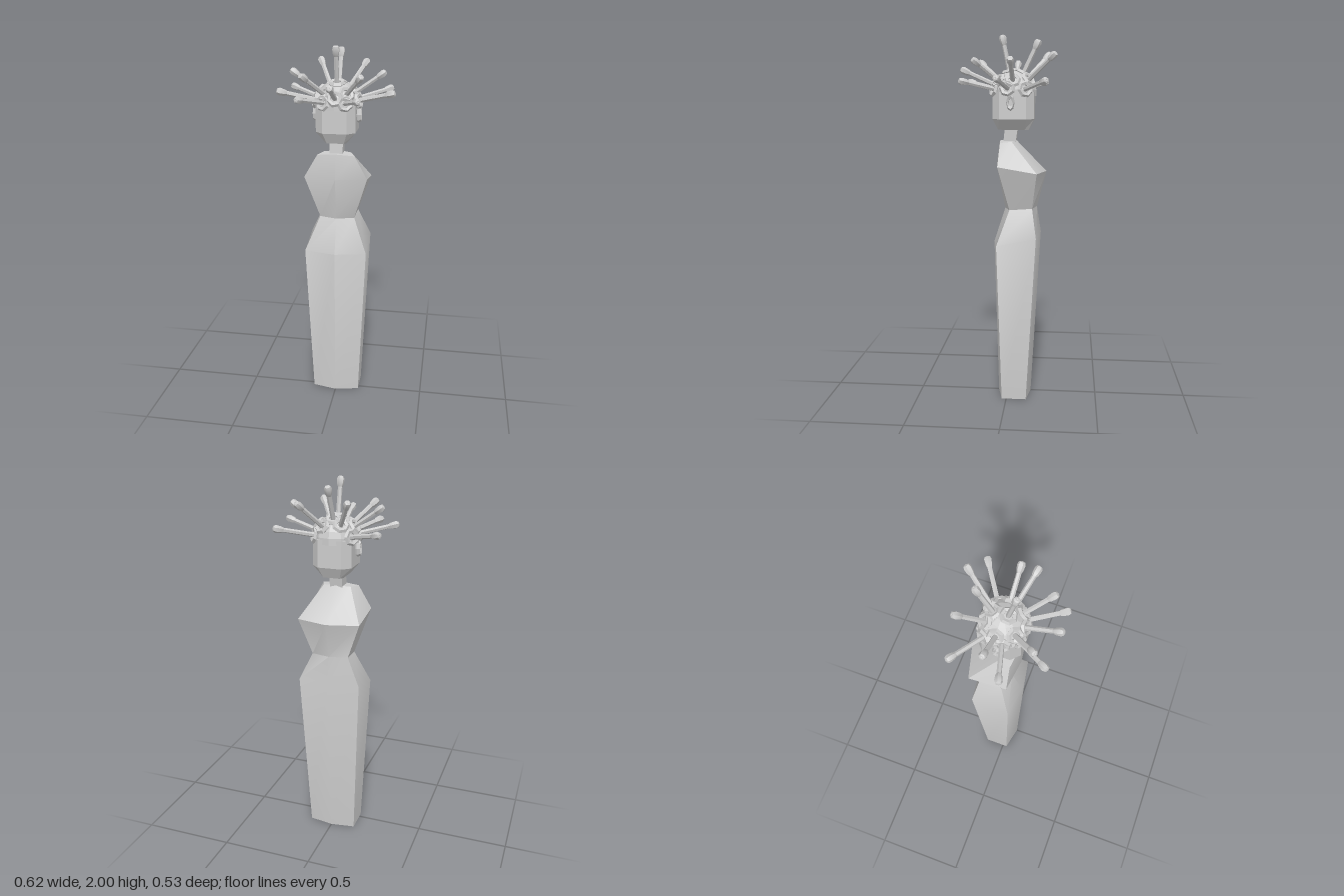
import * as THREE from 'three';
import { toCreasedNormals } from 'three/addons/utils/BufferGeometryUtils.js';

const stone = new THREE.MeshStandardMaterial({ color: 0xcccccc, side: THREE.DoubleSide });
stone.name = 'stone grey';

const HAIR = new THREE.Vector3(0, 1.69, -0.032); // centre of the hair ball

function add(parent, name, geometry, crease = 0.05) {
  const mesh = new THREE.Mesh(toCreasedNormals(geometry, crease), stone);
  mesh.name = name;
  parent.add(mesh);
  return mesh;
}

// Skin a stack of rings, listed bottom to top, each running front -> +x -> back -> -x
function loft(rings, capBottom, capTop) {
  const pos = [];
  const tri = (...pts) => pts.forEach((p) => pos.push(...p));
  const n = rings[0].length;
  for (let r = 0; r < rings.length - 1; r++) {
    const lo = rings[r], hi = rings[r + 1];
    for (let i = 0; i < n; i++) {
      const j = (i + 1) % n;
      tri(lo[i], lo[j], hi[j]);
      tri(lo[i], hi[j], hi[i]);
    }
  }
  const top = rings[rings.length - 1], bottom = rings[0];
  for (let i = 1; i < n - 1; i++) {
    if (capTop) tri(top[0], top[i], top[i + 1]);
    if (capBottom) tri(bottom[0], bottom[i + 1], bottom[i]);
  }
  const g = new THREE.BufferGeometry();
  g.setAttribute('position', new THREE.Float32BufferAttribute(pos, 3));
  return g;
}

// Six-sided body section: front ridge, front corners, back corners, back ridge
const bodyRing = ([fy, fz], [cx, cy, cz], [bx, by, bz], [ry, rz]) => [
  [0, fy, fz], [cx, cy, cz], [bx, by, bz], [0, ry, rz], [-bx, by, bz], [-cx, cy, cz],
];

// Eight-sided head section with half sizes and flat half widths
const headRing = (y, hx, hz, fx, fz) =>
  [[fx, hz], [hx, fz], [hx, -fz], [fx, -hz], [-fx, -hz], [-hx, -fz], [-hx, fz], [-fx, hz]]
    .map(([x, z]) => [x, y, z - 0.032]);

const boxRing = (y, hx, front, back) =>
  [[hx, y, front], [hx, y, back], [-hx, y, back], [-hx, y, front]];

// A braid points along its own +y, starting at the hair centre
function braid(tip) {
  const group = new THREE.Group();
  group.name = 'braid';
  const dir = new THREE.Vector3(...tip).sub(HAIR);
  const length = dir.length() + 0.012;
  group.position.copy(HAIR);
  group.quaternion.setFromUnitVectors(new THREE.Vector3(0, 1, 0), dir.normalize());

  const shaft = new THREE.CylinderGeometry(0.012, 0.013, length - 0.13, 6);
  shaft.translate(0, 0.09 + (length - 0.13) / 2, 0);
  add(group, 'braidShaft', shaft);

  const knob = new THREE.LatheGeometry([
    [0.012, -0.055], [0.017, -0.043], [0.02, -0.016], [0.015, -0.003], [0.006, 0], [0, -0.003],
  ].map(([r, y]) => new THREE.Vector2(r, length + y)), 6);
  add(group, 'braidKnob', knob, 0.6);

  const collar = new THREE.TorusGeometry(0.033, 0.013, 5, 7);
  collar.rotateX(Math.PI / 2);
  collar.translate(0, 0.118, 0);
  add(group, 'braidCollar', collar);
  return group;
}

export function createModel() {
  const model = new THREE.Group();
  model.name = 'bust';

  // Tapering column with hips, waist and sloping shoulders, open below
  add(model, 'body', loft([
    bodyRing([0, 0.053], [0.132, 0, 0.025], [0.132, 0, -0.11], [0, -0.13]),
    bodyRing([0.88, 0.077], [0.17, 0.885, 0.05], [0.17, 0.93, -0.163], [0.94, -0.182]),
    bodyRing([1.07, 0.015], [0.095, 1.07, -0.015], [0.1, 1.08, -0.138], [1.08, -0.16]),
    bodyRing([1.305, 0.063], [0.17, 1.31, 0.043], [0.17, 1.275, -0.165], [1.275, -0.21]),
    bodyRing([1.44, 0.045], [0.1, 1.432, 0.035], [0.075, 1.437, -0.025], [1.443, -0.045]),
  ], false, true), 0.5);

  // Neck
  add(model, 'neck', loft([
    boxRing(1.42, 0.034, 0.024, -0.042), boxRing(1.52, 0.036, 0.014, -0.056),
  ], true, true));

  // Faceted head with a chamfered chin
  add(model, 'head', loft([
    headRing(1.5, 0.058, 0.082, 0.045, 0.06),
    headRing(1.557, 0.105, 0.111, 0.064, 0.071),
    headRing(1.7, 0.105, 0.111, 0.064, 0.071),
  ], true, true));

  // Ears
  for (const side of [1, -1]) {
    const ear = new THREE.TorusGeometry(0.028, 0.013, 5, 8);
    ear.rotateY(Math.PI / 2);
    ear.scale(1.3, 1.1, 0.55);
    ear.translate(side * 0.113, 1.645, -0.022);
    add(model, side > 0 ? 'leftEar' : 'rightEar', ear);
  }

  // Hair cap
  const hair = new THREE.SphereGeometry(0.122, 12, 6, 0, Math.PI * 2, 0, 1.68);
  hair.translate(HAIR.x, HAIR.y, HAIR.z);
  add(model, 'hairCap', hair);

  // Braids radiating from the cap, given by their tips
  [
    [-0.27, 1.755, -0.195], [0.265, 1.755, -0.21],
    [-0.12, 1.9, -0.215], [0.125, 1.89, -0.25],
    [0, 1.96, -0.16], [0, 1.985, 0.03],
    [-0.24, 1.86, -0.037], [0.24, 1.86, -0.032],
    [-0.295, 1.765, 0.055], [0.295, 1.765, 0.035],
    [-0.15, 1.86, 0.165], [0.145, 1.86, 0.165],
    [-0.16, 1.755, 0.228], [0.14, 1.755, 0.235],
    [0.005, 1.815, 0.245],
  ].forEach((tip) => model.add(braid(tip)));

  return model;
}
